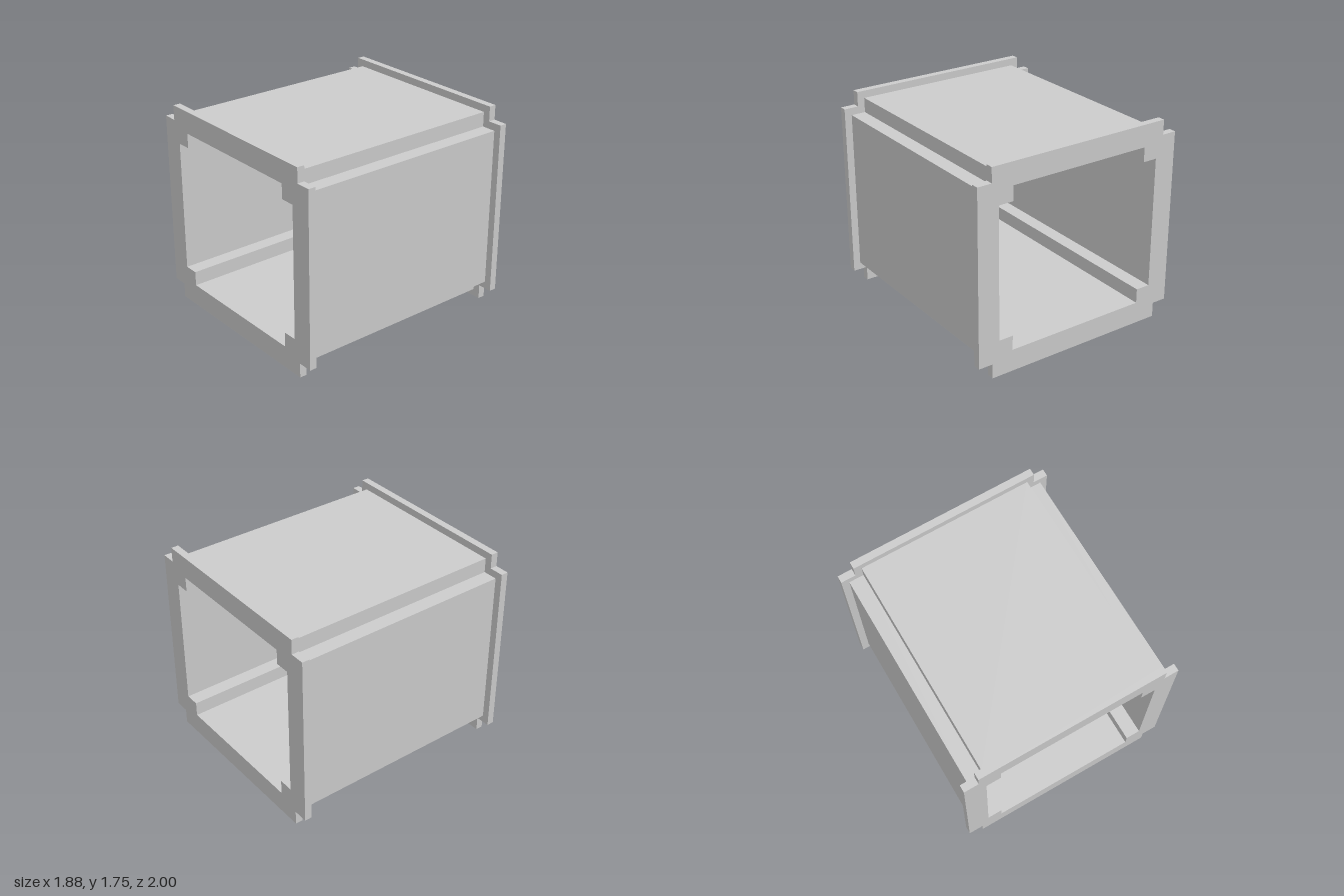
import * as THREE from 'three';

const CENTER_Y = 0.875;
const NOTCH = 0.125;
const material = new THREE.MeshStandardMaterial({ color: 0xcccccc, flatShading: true });

// Rectangle with square notched corners, counter-clockwise seen from +z
function ring(halfW, halfH, z) {
  const corner = [[halfW, halfH - NOTCH], [halfW - NOTCH, halfH - NOTCH], [halfW - NOTCH, halfH]];
  const points = [];
  for (const [sx, sy] of [[1, 1], [-1, 1], [-1, -1], [1, -1]]) {
    const ordered = sx * sy > 0 ? corner : [...corner].reverse();
    for (const [x, y] of ordered) points.push([sx * x, CENTER_Y + sy * y, z]);
  }
  return points;
}

// Joins successive rings with flat quads
function loft(name, rings) {
  const positions = [];
  for (let k = 0; k < rings.length - 1; k++) {
    const p = rings[k], q = rings[k + 1];
    for (let i = 0; i < p.length; i++) {
      const j = (i + 1) % p.length;
      positions.push(...p[i], ...p[j], ...q[j], ...p[i], ...q[j], ...q[i]);
    }
  }
  const geometry = new THREE.BufferGeometry();
  geometry.setAttribute('position', new THREE.Float32BufferAttribute(positions, 3));
  geometry.computeVertexNormals();
  const mesh = new THREE.Mesh(geometry, material);
  mesh.name = name;
  return mesh;
}

export function createModel() {
  const end = 1, inner = 0.9375; // flange faces along z
  const flange = z => ring(0.9375, 0.875, z);
  const casing = z => ring(0.875, 0.8125, z);
  const lining = z => ring(0.75, 0.6875, z);

  const group = new THREE.Group();
  group.name = 'ductSection';
  group.add(
    // Notched end frames
    loft('frontFlange', [casing(inner), flange(inner), flange(end), lining(end)]),
    loft('rearFlange', [lining(-end), flange(-end), flange(-inner), casing(-inner)]),
    // Outside and inside walls of the tunnel
    loft('outerCasing', [casing(-inner), casing(inner)]),
    loft('innerLining', [lining(end), lining(-end)]),
  );
  return group;
}
